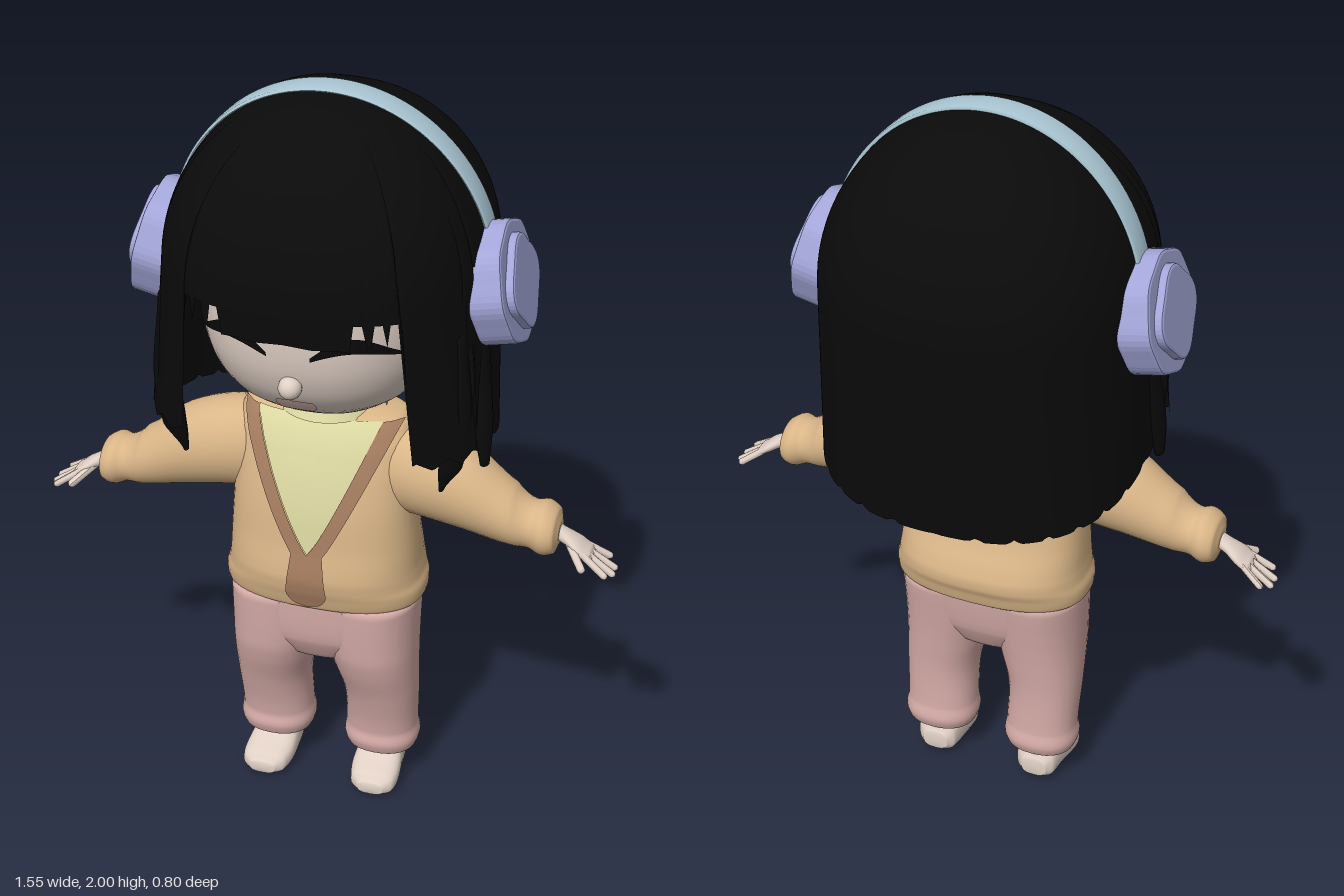
import * as THREE from 'three';

const mat = (name, color, side = THREE.FrontSide) => {
  const m = new THREE.MeshStandardMaterial({ color, side });
  m.name = name;
  return m;
};

// Superellipse coordinate: exponent n = 2 is round, higher is boxier
const se = (v, n) => Math.sign(v) * Math.abs(v) ** (2 / n);

// Cross-section between list entries, smoothed by Catmull-Rom; s counts entries
function sample(sec, s) {
  const i = Math.min(Math.floor(s), sec.length - 2), t = s - i;
  const p = sec[Math.max(i - 1, 0)], a = sec[i], b = sec[i + 1], q = sec[Math.min(i + 2, sec.length - 1)];
  return a.map((v, k) => k === 0 ? v + (b[0] - v) * t : v + 0.5 * t * (b[k] - p[k] +
    t * (2 * p[k] - 5 * v + 4 * b[k] - q[k] + t * (3 * (v - b[k]) + q[k] - p[k]))));
}

// Closed loft along an axis; section = [along, centreA, centreB, radiusA, radiusB]
function loft(sec, axis = 1, n = 2, seg = 32, sub = 5) {
  const a = (axis + 2) % 3, b = (axis + 1) % 3, pos = [], idx = [];
  const rows = (sec.length - 1) * sub;
  for (let i = 0; i <= rows; i++) {
    const s = sample(sec, i / sub);
    for (let j = 0; j < seg; j++) {
      const t = j / seg * Math.PI * 2, p = [];
      p[axis] = s[0];
      p[a] = s[1] + s[3] * se(Math.cos(t), n);
      p[b] = s[2] + s[4] * se(Math.sin(t), n);
      pos.push(...p);
      const k = (j + 1) % seg, r = i * seg;
      if (i < rows) idx.push(r + j, r + seg + j, r + k, r + k, r + seg + j, r + seg + k);
    }
  }
  [sec[0], sec.at(-1)].forEach((s, e) => {
    const p = [], c = pos.length / 3, r = e ? rows * seg : 0;
    p[axis] = s[0]; p[a] = s[1]; p[b] = s[2];
    pos.push(...p);
    for (let j = 0; j < seg; j++) {
      const k = (j + 1) % seg;
      idx.push(c, ...(e ? [r + k, r + j] : [r + j, r + k]));
    }
  });
  return build(pos, idx);
}

function build(pos, idx) {
  const g = new THREE.BufferGeometry();
  g.setAttribute('position', new THREE.Float32BufferAttribute(pos, 3));
  g.setIndex(idx);
  g.computeVertexNormals();
  return g;
}

// Grid of points from a rule f(u, v) -> [x, y, z]
function grid(nu, nv, f) {
  const pos = [], idx = [];
  for (let i = 0; i <= nv; i++) for (let j = 0; j <= nu; j++) {
    pos.push(...f(j / nu, i / nv));
    const r = i * (nu + 1) + j;
    if (i < nv && j < nu) idx.push(r, r + 1, r + nu + 1, r + 1, r + nu + 2, r + nu + 1);
  }
  return build(pos, idx);
}

// Front depth of a vertical loft at (x, y)
function frontZ(sec, n, x, y) {
  let i = 0;
  while (i < sec.length - 2 && y > sec[i + 1][0]) i++;
  const s = sample(sec, i + THREE.MathUtils.clamp((y - sec[i][0]) / (sec[i + 1][0] - sec[i][0]), 0, 1));
  return s[2] + s[4] * (1 - Math.min(Math.abs(x) / s[3], 0.99) ** n) ** (1 / n);
}

function mirror(g) {
  const m = g.clone().scale(-1, 1, 1), ix = m.index.array;
  for (let i = 0; i < ix.length; i += 3) [ix[i], ix[i + 1]] = [ix[i + 1], ix[i]];
  m.computeVertexNormals();
  return m;
}

export function createModel() {
  const root = new THREE.Group();
  const D = THREE.DoubleSide;
  const skin = mat('skin', 0xe0d0c5), hair = mat('hairBlack', 0x0a0a0a, D), lip = mat('lip', 0xdcbbb2, D);
  const knit = mat('cardigan', 0xdab688), trim = mat('cardiganTrim', 0xa57d60, D), shirt = mat('shirt', 0xdcd8a2, D);
  const cloth = mat('trousers', 0xd6aca8), cup = mat('earCup', 0xa3a6d8), band = mat('headband', 0xabc8d5);
  const add = (name, geo, m) => {
    const o = new THREE.Mesh(geo, m);
    o.name = name;
    root.add(o);
    return o;
  };
  const pair = (name, geo, m) => { add(name + 'Left', geo, m); add(name + 'Right', mirror(geo), m); };

  // Head, neck and face
  const headSec = [];
  for (let i = 0; i <= 14; i++) {
    const t = -Math.cos(i / 14 * Math.PI), k = Math.max(1 - Math.abs(t) ** 2.6, 0) ** (1 / 2.6);
    headSec.push([1.52 + 0.345 * t, 0, 0.02, 0.31 * k + 0.001, 0.33 * k + 0.001]);
  }
  add('head', loft(headSec, 1, 2.3, 48, 3), skin);
  add('neck', new THREE.CylinderGeometry(0.1, 0.1, 0.16, 24), skin).position.set(0, 1.18, 0.02);
  const nose = add('nose', new THREE.SphereGeometry(0.03, 16, 12), skin);
  nose.position.set(0, 1.34, 0.335);
  const onFace = (x, y) => [x, y, frontZ(headSec, 2.3, x, y) + 0.006];
  pair('closedEye', grid(16, 2, (u, v) => onFace(0.055 + 0.195 * u,
    1.425 + 0.025 * Math.sin(Math.PI * u) + 0.03 * v * (0.35 + Math.sin(Math.PI * u)))), hair);
  add('mouth', grid(10, 6, (u, v) => onFace((u - 0.5) * (0.06 + 0.045 * Math.sin(Math.PI * (0.1 + 0.65 * v))), 1.243 + 0.045 * v)), lip);

  // Hair shell: the lower edge depends on the angle from the front, in degrees
  const edge = (d) => {
    const saw = Math.abs(((d / 13) % 1) - 0.5);
    if (d < 19) return 1.475 + 0.01 * saw;
    if (d < 37) return (d > 23 && d < 26) || (d > 31 && d < 33) ? 1.49 : 1.55;
    if (d < 68) return 1.13 + 0.05 * saw;
    if (d < 76) return 1.42;
    return 1.09 + 0.1 * Math.cos(d * Math.PI / 180) + 0.07 * Math.max(saw - 0.32, 0);
  };
  add('hair', grid(240, 36, (u, v) => {
    const a = (u * 2 - 1) * Math.PI, d = Math.abs(a) * 180 / Math.PI;
    const y = 1.992 - (1.992 - edge(d)) * (1 - v) ** 1.8;
    const low = Math.max(1.55 - y, 0), t = Math.max(y - 1.55, 0) / 0.442;
    const k = Math.sqrt(Math.max(1 - t * t, 0));
    const flare = d > 37 && d < 68 ? 1 + 0.22 * low * Math.sin(Math.abs(a)) : 1;
    const x = (0.41 + 0.03 * low) * k * flare * se(Math.sin(a), 2.5);
    const z = (Math.cos(a) > 0 ? 0.39 - 0.09 * low : 0.41 - 0.075 * low) * k * se(Math.cos(a), 2.5);
    return [x, y, z];
  }), hair);
  pair('innerLock', loft([[1.02, 0.34, 0.17, 0.006, 0.01], [1.1, 0.365, 0.18, 0.03, 0.03],
    [1.25, 0.385, 0.18, 0.03, 0.035], [1.47, 0.375, 0.18, 0.02, 0.03]], 1, 2, 12), hair);
  pair('outerLock', loft([[1.07, 0.43, 0.09, 0.012, 0.02], [1.17, 0.42, 0.08, 0.025, 0.035],
    [1.3, 0.41, 0.06, 0.02, 0.04], [1.47, 0.39, 0.04, 0.02, 0.04]], 1, 2, 12), hair);

  // Headband: flat strip over the crown, closed around its section
  add('headband', grid(8, 48, (u, v) => {
    const t = 0.15 + v * (Math.PI - 0.3), c = u * Math.PI * 2, s = Math.sin(t);
    const r = 0.007 * se(Math.sin(c), 5);
    return [(0.414 + r) * Math.cos(t), (0.443 + r) * s + 1.55,
      -0.02 + 0.028 * s + (0.034 + 0.007 * s) * se(Math.cos(c), 5)];
  }).scale(1, 1, 1), band);
  band.side = D;

  // Ear cups with a lobed outline and a raised four-lobed plate
  const lobed = (r, w, n, depth, z) => {
    const pts = [];
    for (let i = 0; i < 64; i++) {
      const t = i / 64 * Math.PI * 2, q = r + w * Math.cos(n * t);
      pts.push(new THREE.Vector2(q * Math.cos(t), q * Math.sin(t)));
    }
    return new THREE.ExtrudeGeometry(new THREE.Shape(pts), { depth, bevelThickness: 0.008, bevelSize: 0.008,
      bevelOffset: -0.008, bevelSegments: 2 }).translate(0, 0, z).rotateY(Math.PI / 2).rotateZ(0.21);
  };
  const cupParts = [['earCushion', lobed(0.135, 0, 1, 0.05, 0)], ['earCupBody', lobed(0.156, 0.003, 8, 0.074, 0.04)],
    ['earCupPlate', lobed(0.115, 0.009, 4, 0.02, 0.115)]];
  for (const side of [1, -1]) {
    const g = new THREE.Group();
    g.name = side > 0 ? 'earCupLeft' : 'earCupRight';
    for (const [name, geo] of cupParts) {
      const m = new THREE.Mesh(geo, cup);
      m.name = name;
      g.add(m);
    }
    g.position.set(0.358 * side, 1.516, -0.004);
    if (side < 0) g.rotation.y = Math.PI;
    root.add(g);
  }

  // Cardigan body; columns y, half width, front z, back z
  const torso = [[0.608, 0.255, 0.19, -0.12], [0.62, 0.268, 0.205, -0.135], [0.655, 0.27, 0.215, -0.145],
    [0.68, 0.262, 0.222, -0.155], [0.72, 0.256, 0.225, -0.152], [0.8, 0.25, 0.212, -0.12], [0.9, 0.242, 0.2, -0.095],
    [1.0, 0.24, 0.178, -0.09], [1.08, 0.24, 0.15, -0.085], [1.13, 0.222, 0.125, -0.075], [1.15, 0.2, 0.105, -0.06],
    [1.16, 0.15, 0.08, -0.04]].map(([y, w, f, b]) => [y, 0, (f + b) / 2, w, (f - b) / 2]);
  add('cardiganBody', loft(torso, 1, 2.5, 48), knit);
  const onTorso = (x, y, o) => [x, y, frontZ(torso, 2.5, x, y) + o];

  // Shirt in the neckline, cardigan edging and button strip
  const inner = (v) => 0.165 * v ** 0.85, outer = (v) => 0.042 + 0.17 * v ** 0.9;
  add('shirtFront', grid(16, 16, (u, v) => onTorso((u * 2 - 1) * inner(v), 0.79 + 0.355 * v, 0.005)), shirt);
  pair('necklineTrim', grid(4, 20, (u, v) =>
    onTorso(THREE.MathUtils.lerp(inner(v), outer(v), u), 0.79 + 0.355 * v, 0.009)), trim);
  add('buttonStrip', grid(8, 20, (u, v) => {
    const w = v < 0.3 ? 0.055 * Math.sqrt(Math.max(1 - (1 - v / 0.3) ** 2, 0)) : 0.055 - 0.013 * (v - 0.3) / 0.7;
    return onTorso((u * 2 - 1) * w, 0.63 + 0.16 * v, 0.009);
  }), trim);
  add('shirtCollar', new THREE.CylinderGeometry(0.11, 0.13, 0.04, 32, 1, true), shirt).position.set(0, 1.165, 0.02);
  const collar = add('backCollar', new THREE.TorusGeometry(0.14, 0.015, 8, 24, Math.PI).rotateX(-Math.PI / 2), trim);
  collar.scale.z = 0.6;
  collar.position.set(0, 1.158, 0.03);

  // Sleeves with gathered cuffs
  pair('sleeve', loft([[0.12, 0.03, 0.995, 0.09, 0.12], [0.25, 0.035, 0.995, 0.11, 0.125], [0.38, 0.04, 0.965, 0.1, 0.115],
    [0.5, 0.045, 0.91, 0.08, 0.082], [0.55, 0.045, 0.89, 0.068, 0.064], [0.585, 0.045, 0.885, 0.08, 0.071],
    [0.615, 0.045, 0.88, 0.068, 0.058], [0.625, 0.045, 0.878, 0.035, 0.03]], 0), knit);

  // Hands: palm and five tapered fingers
  pair('palm', loft([[0.6, 0.045, 0.886, 0.026, 0.022], [0.64, 0.045, 0.868, 0.028, 0.02],
    [0.675, 0.045, 0.847, 0.042, 0.018], [0.705, 0.045, 0.828, 0.04, 0.013], [0.712, 0.045, 0.823, 0.03, 0.006]], 0, 2, 16), skin);
  const finger = (a, b, r) => {
    const p = new THREE.Vector3(...a), dir = new THREE.Vector3(...b).sub(p), len = dir.length();
    return new THREE.CapsuleGeometry(r, len, 4, 8).translate(0, len / 2, 0)
      .applyQuaternion(new THREE.Quaternion().setFromUnitVectors(new THREE.Vector3(0, 1, 0), dir.normalize()))
      .translate(...a);
  };
  [[0.015, -0.005, 0.745], [0.035, 0.027, 0.765], [0.055, 0.06, 0.765], [0.075, 0.092, 0.75]].forEach(([z0, z1, x], i) =>
    pair('finger' + (i + 1), finger([0.69, 0.836, z0], [x, 0.836 - (x - 0.69) * 0.66, z1], 0.0095), skin));
  pair('thumb', finger([0.65, 0.857, 0.06], [0.695, 0.82, 0.115], 0.011), skin);

  // Trousers with gathered ankles
  add('trouserSeat', loft([[0.4, 0, 0.045, 0.05, 0.06], [0.43, 0, 0.045, 0.13, 0.105], [0.5, 0, 0.045, 0.235, 0.14],
    [0.63, 0, 0.04, 0.25, 0.155]], 1, 2.4, 40), cloth);
  pair('trouserLeg', loft([[0.095, 0.15, 0.012, 0.075, 0.07], [0.105, 0.15, 0.012, 0.095, 0.085],
    [0.135, 0.15, 0.012, 0.103, 0.094], [0.175, 0.15, 0.014, 0.098, 0.088], [0.3, 0.152, 0.03, 0.1, 0.103],
    [0.42, 0.138, 0.045, 0.115, 0.13], [0.5, 0.13, 0.045, 0.124, 0.142], [0.62, 0.128, 0.04, 0.128, 0.155]], 1, 2.3), cloth);

  // Feet
  pair('foot', loft([[-0.055, 0.04, 0.15, 0.025, 0.035], [-0.035, 0.052, 0.15, 0.05, 0.056], [0.03, 0.054, 0.15, 0.054, 0.064],
    [0.09, 0.04, 0.153, 0.04, 0.068], [0.135, 0.031, 0.156, 0.031, 0.06], [0.156, 0.024, 0.156, 0.016, 0.035]], 2, 2.8, 24), skin);
  pair('ankle', loft([[0.06, 0.15, 0.005, 0.06, 0.052], [0.13, 0.15, 0.01, 0.062, 0.058]], 1, 2, 20), skin);
  return root;
}
